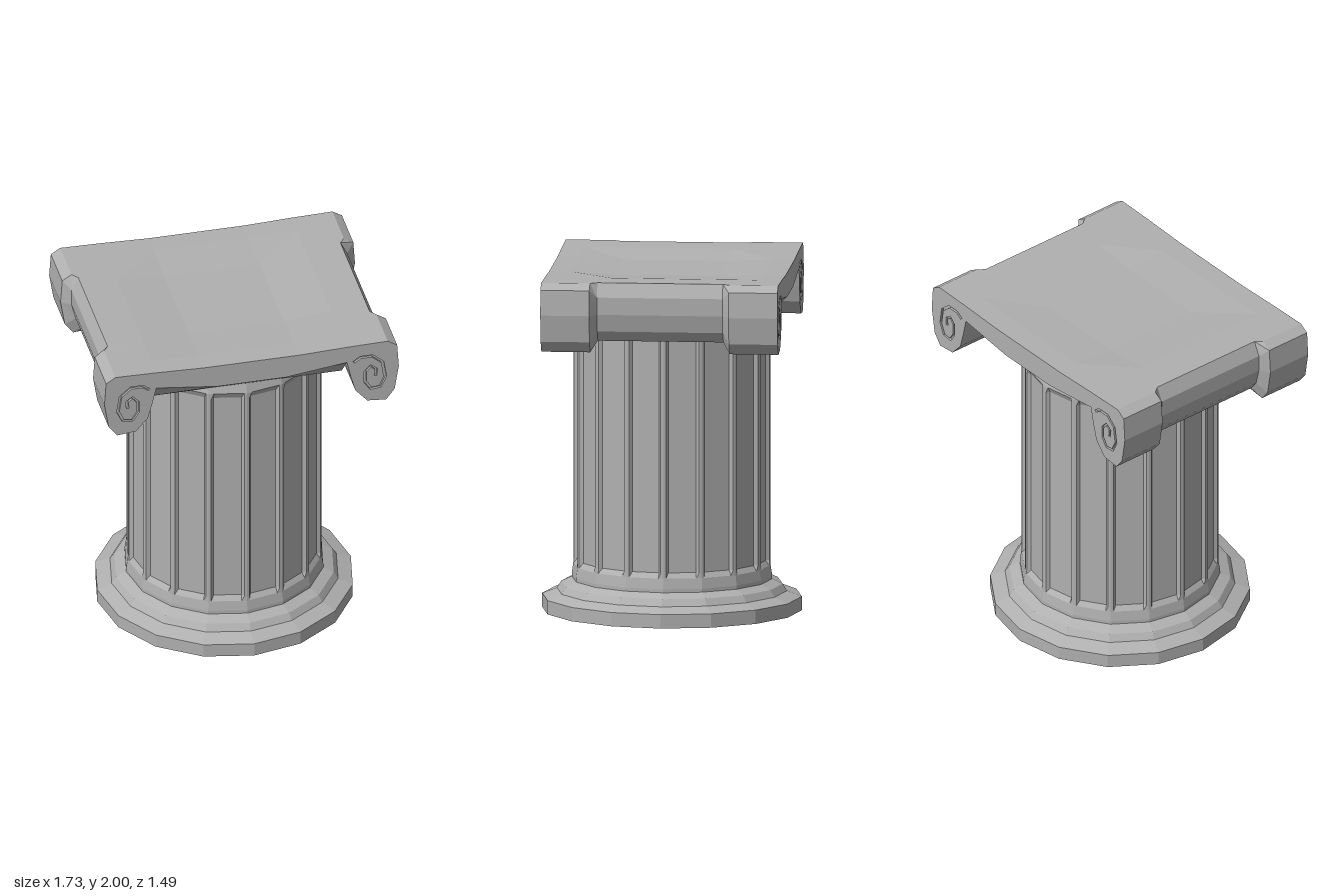
import * as THREE from 'three';

const SIDES = 16;
const stone = new THREE.MeshStandardMaterial({ color: 0xb0b0b0 });
stone.name = 'grey stone';

function part(geometry, name) {
  const geo = geometry.index ? geometry.toNonIndexed() : geometry;
  geo.computeVertexNormals(); // unshared corners give flat facets
  const mesh = new THREE.Mesh(geo, stone);
  mesh.name = name;
  return mesh;
}

// Skin closed rings of [x, y, z] points and close both ends
function loft(rings) {
  const out = [];
  const n = rings[0].length;
  const tri = (...corners) => corners.forEach((p) => out.push(...p));
  const centre = (ring) => [0, 1, 2].map((k) => ring.reduce((sum, p) => sum + p[k], 0) / n);
  const first = rings[0], last = rings[rings.length - 1];
  const c0 = centre(first), c1 = centre(last);
  for (let j = 0; j < n; j++) {
    const k = (j + 1) % n;
    for (let i = 0; i + 1 < rings.length; i++) {
      const a = rings[i], b = rings[i + 1];
      tri(a[j], a[k], b[k]);
      tri(a[j], b[k], b[j]);
    }
    tri(c0, first[k], first[j]);
    tri(c1, last[j], last[k]);
  }
  const geo = new THREE.BufferGeometry();
  geo.setAttribute('position', new THREE.Float32BufferAttribute(out, 3));
  return geo;
}

// Stepped round base
function makeBase() {
  const profile = [[0, 0], [0.745, 0], [0.745, 0.08], [0.66, 0.112], [0.635, 0.152], [0.575, 0.18], [0, 0.18]];
  return part(new THREE.LatheGeometry(profile.map(([x, y]) => new THREE.Vector2(x, y)), SIDES), 'base');
}

// Ring of the shaft: flat panels sunk between narrow ridges
function shaftRing(y, radius, depth) {
  const ring = [];
  for (let i = 0; i < SIDES; i++) {
    const a = (i / SIDES) * Math.PI * 2, b = ((i + 1) / SIDES) * Math.PI * 2, mid = (a + b) / 2;
    for (const [t, sunk] of [[0, 0], [0.07, 0], [0.14, 1], [0.86, 1], [0.93, 0]]) {
      const x = radius * THREE.MathUtils.lerp(Math.sin(a), Math.sin(b), t);
      const z = radius * THREE.MathUtils.lerp(Math.cos(a), Math.cos(b), t);
      ring.push([x - Math.sin(mid) * depth * sunk, y, z - Math.cos(mid) * depth * sunk]);
    }
  }
  return ring;
}

function makeShaft() {
  const levels = [
    [0.17, 0.575, 0], [0.2, 0.575, 0], [0.26, 0.566, 0], [0.29, 0.565, 0.02],
    [1.65, 0.565, 0.02], [1.69, 0.565, 0], [1.75, 0.548, 0], [1.77, 0.548, 0],
  ];
  return part(loft(levels.map((level) => shaftRing(...level))), 'fluted shaft');
}

// Dished slab whose underside slopes in to the shaft
function makeSlab() {
  const rings = [-0.68, -0.55, -0.3, 0.3, 0.55, 0.68].map((z) => {
    const edge = Math.abs(z) > 0.6;
    const dip = Math.abs(z) < 0.4 ? 0.015 : 0;
    const bottom = [[-0.56, edge ? 1.89 : 1.75], [-0.2, edge ? 1.845 : 1.75], [0.2, edge ? 1.845 : 1.75], [0.56, edge ? 1.89 : 1.75]];
    const top = [[0.56, 1.995], [0.28, 1.985 - dip], [-0.28, 1.985 - dip], [-0.56, 1.995]];
    return [...bottom, ...top].map(([x, y]) => [x, y, z]);
  });
  return part(loft(rings), 'capital slab');
}

// Scroll end and the slimmer roll between two scroll ends
const scroll = [[0.56, 1.995], [0.56, 1.89], [0.585, 1.78], [0.61, 1.69], [0.68, 1.61],
  [0.79, 1.6], [0.84, 1.665], [0.865, 1.82], [0.855, 1.965], [0.8, 2]];
const roll = [[0.56, 1.995], [0.56, 1.89], [0.565, 1.78], [0.57, 1.71], [0.66, 1.665],
  [0.74, 1.66], [0.785, 1.72], [0.81, 1.82], [0.81, 1.92], [0.77, 2]];
const spiral = [[0.6, 1.885], [0.64, 1.912], [0.71, 1.912], [0.77, 1.86], [0.785, 1.76], [0.755, 1.695],
  [0.7, 1.69], [0.668, 1.74], [0.668, 1.81], [0.7, 1.845], [0.732, 1.82], [0.728, 1.775]];

// Closed outline of a narrow groove following a path
function groove(path, half) {
  const left = [], right = [];
  path.forEach(([x, y], i) => {
    const p = path[Math.max(i - 1, 0)], q = path[Math.min(i + 1, path.length - 1)];
    const dx = q[0] - p[0], dy = q[1] - p[1], len = Math.hypot(dx, dy);
    left.push([x - (dy / len) * half, y + (dx / len) * half]);
    right.unshift([x + (dy / len) * half, y - (dx / len) * half]);
  });
  return [...left, ...right];
}

function makeBolster(side) {
  const group = new THREE.Group();
  group.name = side > 0 ? 'leftScrollRoll' : 'rightScrollRoll';
  const flip = (points) => {
    const flipped = points.map(([x, y]) => [x * side, y]);
    return side > 0 ? flipped : flipped.reverse();
  };
  const sections = [[-0.665, scroll], [-0.4, scroll], [-0.36, roll], [0.36, roll], [0.4, scroll], [0.665, scroll]];
  group.add(part(loft(sections.map(([z, pts]) => flip(pts).map(([x, y]) => [x, y, z]))), 'roll'));

  // End plates with a spiral groove
  const toVectors = (points) => flip(points).map(([x, y]) => new THREE.Vector2(x, y));
  const shape = new THREE.Shape(toVectors(scroll));
  shape.holes.push(new THREE.Path(toVectors(groove(spiral, 0.008))));
  for (const z of [0.665, -0.68]) {
    const plate = part(new THREE.ExtrudeGeometry(shape, { depth: 0.015, bevelEnabled: false }), 'spiral end');
    plate.position.z = z;
    group.add(plate);
  }
  return group;
}

export function createModel() {
  const model = new THREE.Group();
  model.name = 'column';
  model.add(makeBase(), makeShaft(), makeSlab(), makeBolster(1), makeBolster(-1));
  return model;
}
